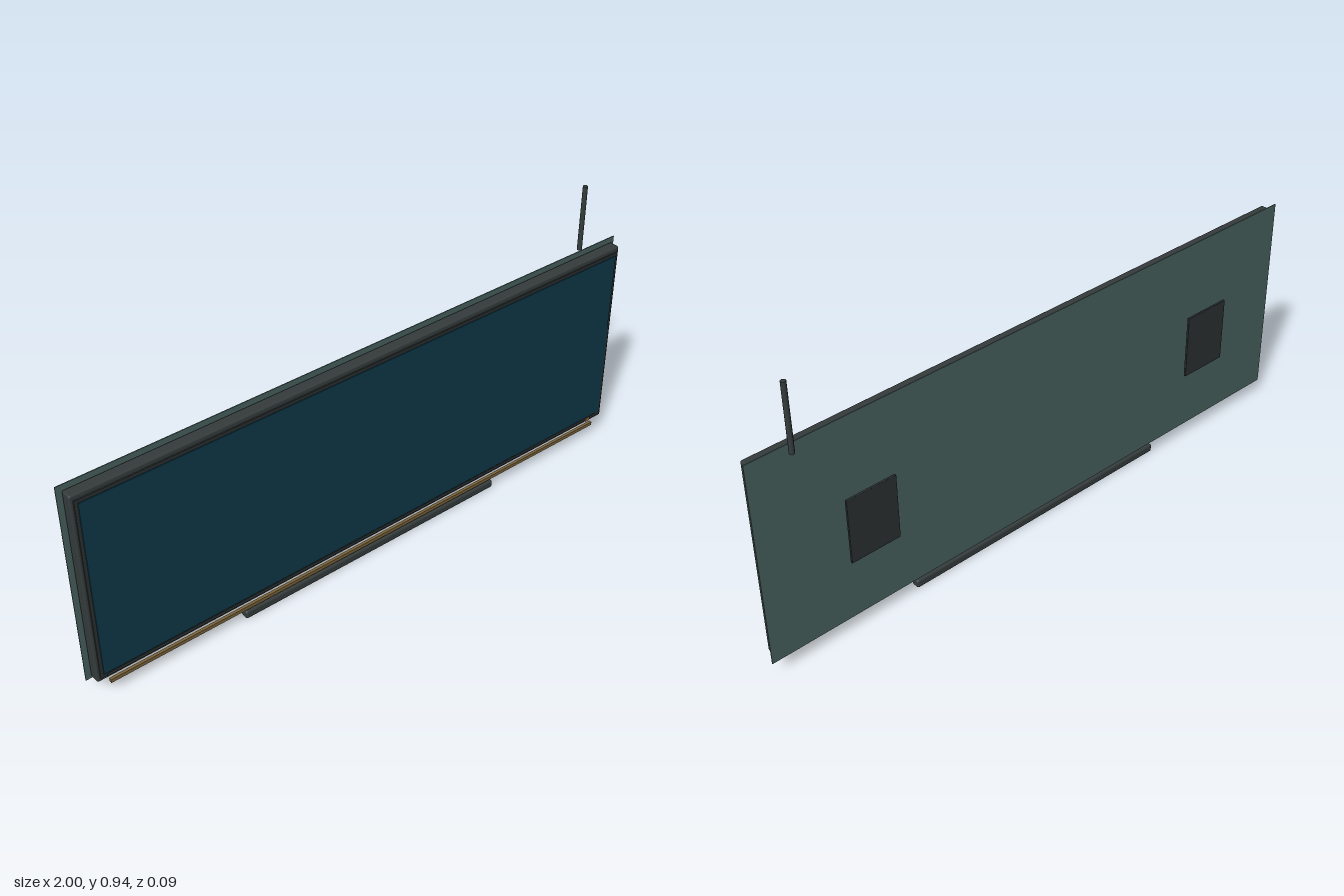
import * as THREE from 'three';
import { RoundedBoxGeometry } from 'three/addons/geometries/RoundedBoxGeometry.js';

const mat = (name, color) => new THREE.MeshStandardMaterial({ name, color });

export function createModel() {
  const root = new THREE.Group();
  const casing = mat('charcoal casing', 0x353b3b);
  const dark = mat('dark bezel', 0x2b3030);
  const glass = mat('deep teal screen', 0x0e3848);
  const glow = mat('grey teal panel', 0x48625f);
  const brass = mat('aged brass', 0x78623a);
  const copper = mat('copper light', 0xa8703c);

  // Boxes are given by their minimum and maximum corners
  const add = (name, geometry, material, x, y, z, parent = root) => {
    const mesh = new THREE.Mesh(geometry, material);
    mesh.name = name;
    mesh.position.set(x, y, z);
    parent.add(mesh);
    return mesh;
  };
  const box = (name, material, [x0, y0, z0], [x1, y1, z1], radius = 0, parent = root) => {
    const size = [x1 - x0, y1 - y0, z1 - z0];
    const geometry = radius ? new RoundedBoxGeometry(...size, 2, radius) : new THREE.BoxGeometry(...size);
    return add(name, geometry, material, (x0 + x1) / 2, (y0 + y1) / 2, (z0 + z1) / 2, parent);
  };

  // Rectangular ring with a hole, extruded forward
  const frame = (name, material, w, h, border, depth, y, z) => {
    const rect = (path, a, b) => path.moveTo(-a, -b).lineTo(a, -b).lineTo(a, b).lineTo(-a, b).closePath();
    const shape = rect(new THREE.Shape(), w / 2, h / 2);
    shape.holes.push(rect(new THREE.Path(), w / 2 - border, h / 2 - border));
    add(name, new THREE.ExtrudeGeometry(shape, { depth, bevelEnabled: false }), material, 0, y, z);
  };

  // Display body and rear panel
  box('casing', casing, [-0.985, 0.065, 0], [0.985, 0.721, 0.037], 0.006);
  box('rearPanel', glow, [-1, 0.053, -0.005], [1, 0.735, -0.002]);

  // Front bezel, screen and lower trim
  frame('bezel', dark, 1.95, 0.626, 0.02, 0.005, 0.392, 0.036);
  box('screen', glass, [-0.965, 0.092, 0.036], [0.965, 0.695, 0.044]);
  box('lowerTrim', dark, [-0.955, 0.078, 0.036], [0.955, 0.088, 0.043]);
  box('statusLight', copper, [0.907, 0.074, 0.036], [0.922, 0.086, 0.045]);

  // Brass rail and sound bar under the display
  box('brassRail', brass, [-0.945, 0.04, 0.028], [0.945, 0.052, 0.038]);
  box('soundBar', casing, [-0.49, 0, 0.008], [0.49, 0.028, 0.036], 0.007);

  // Wall mounts
  for (const side of [-1, 1]) {
    const mount = new THREE.Group();
    mount.name = side > 0 ? 'leftMount' : 'rightMount';
    mount.position.x = side * 0.657;
    root.add(mount);
    box('wallPlate', dark, [-0.083, 0.284, -0.044], [0.083, 0.502, -0.036], 0.002, mount);
    box('mountArm', dark, [-0.016, 0.377, -0.037], [0.016, 0.41, 0], 0, mount);
  }

  // Cable conduit rising behind the display
  add('cableConduit', new THREE.CylinderGeometry(0.008, 0.008, 0.22, 12), casing, 0.873, 0.831, -0.028);

  return root;
}
